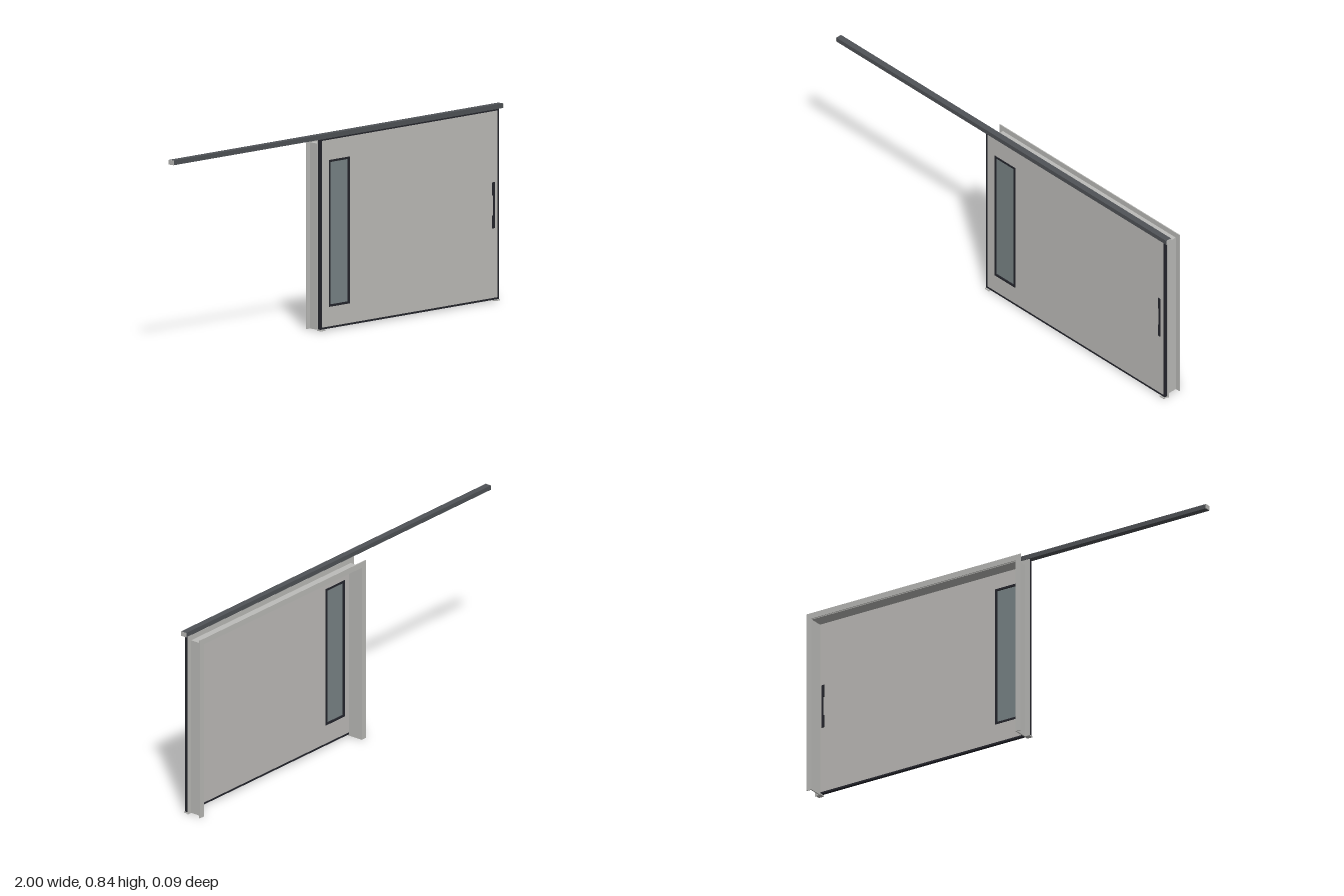
import * as THREE from 'three';

const material = (name, color) => {
  const m = new THREE.MeshStandardMaterial({ color });
  m.name = name;
  return m;
};

export function createModel() {
  const model = new THREE.Group();
  model.name = 'slidingDoor';
  const panelGrey = material('panel grey', 0xc0bebb);
  const frameGrey = material('frame grey', 0xbcbcb9);
  const railGrey = material('rail dark grey', 0x505357);
  const trimDark = material('dark trim', 0x25262d);
  const glass = material('grey blue glass', 0x7a8587);

  const add = (name, geometry, mat) => {
    const mesh = new THREE.Mesh(geometry, mat);
    mesh.name = name;
    model.add(mesh);
    return mesh;
  };
  // Box given by its limits on each axis
  const box = (name, mat, x0, x1, y0, y1, z0, z1) => {
    const g = new THREE.BoxGeometry(x1 - x0, y1 - y0, z1 - z0);
    g.translate((x0 + x1) / 2, (y0 + y1) / 2, (z0 + z1) / 2);
    return add(name, g, mat);
  };
  const rect = (Type, x0, x1, y0, y1) => new Type([
    new THREE.Vector2(x0, y0), new THREE.Vector2(x1, y0),
    new THREE.Vector2(x1, y1), new THREE.Vector2(x0, y1),
  ]);
  const extrude = (name, mat, shape, z0, z1) => {
    const g = new THREE.ExtrudeGeometry(shape, { depth: z1 - z0, bevelEnabled: false });
    g.translate(0, 0, z0);
    return add(name, g, mat);
  };
  // Rectangular ring with a hole
  const ring = (name, mat, x0, x1, y0, y1, t, z0, z1) => {
    const s = rect(THREE.Shape, x0, x1, y0, y1);
    s.holes.push(rect(THREE.Path, x0 + t, x1 - t, y0 + t, y1 - t));
    return extrude(name, mat, s, z0, z1);
  };
  // Door-frame arch, open at the floor
  const arch = (name, x0, x1, top, t, z0, z1) => {
    const pts = [[x0, 0], [x0 + t, 0], [x0 + t, top - t], [x1 - t, top - t],
      [x1 - t, 0], [x1, 0], [x1, top], [x0, top]];
    const s = new THREE.Shape(pts.map(([x, y]) => new THREE.Vector2(x, y)));
    return extrude(name, frameGrey, s, z0, z1);
  };

  // Overhead rail with lighter end caps
  box('rail', railGrey, -0.998, 0.998, 0.82, 0.84, 0.018, 0.046);
  box('railCapRight', frameGrey, -1, -0.998, 0.82, 0.84, 0.018, 0.046);
  box('railCapLeft', frameGrey, 0.998, 1, 0.82, 0.84, 0.018, 0.046);

  // Frame lining with outward flanges front and back
  arch('frameLining', -0.081, 0.965, 0.795, 0.005, -0.042, 0.019);
  arch('frontFlange', -0.102, 0.986, 0.819, 0.026, 0.019, 0.023);
  arch('backFlange', -0.102, 0.986, 0.819, 0.026, -0.046, -0.042);

  // Door leaf with a window opening and dark edging
  const win = { x0: -0.049, x1: 0.076, y0: 0.098, y1: 0.725 };
  const leaf = rect(THREE.Shape, -0.092, 0.973, 0.013, 0.812);
  leaf.holes.push(rect(THREE.Path, win.x0 + 0.004, win.x1 - 0.004, win.y0 + 0.004, win.y1 - 0.004));
  extrude('doorPanel', panelGrey, leaf, 0.026, 0.037);
  ring('doorEdging', trimDark, -0.1, 0.981, 0.006, 0.82, 0.008, 0.0245, 0.0385);

  // Window
  ring('windowFrame', trimDark, win.x0, win.x1, win.y0, win.y1, 0.009, 0.0235, 0.0395);
  box('windowGlass', glass, win.x0 + 0.007, win.x1 - 0.007, win.y0 + 0.007, win.y1 - 0.007, 0.029, 0.034);

  // Handles on both faces: a slim bar with two mounts
  for (const [side, z0, z1] of [['front', 0.037, 0.041], ['back', 0.022, 0.026]]) {
    box(side + 'HandleBar', trimDark, 0.947, 0.955, 0.312, 0.508, z0, z1);
    for (const y of [0.312, 0.453])
      box(side + 'HandleMount', trimDark, 0.941, 0.955, y, y + 0.055, z0, z1 - 0.001);
  }

  // Floor guides under the door corners
  for (const x of [-0.102, 0.956])
    box('floorGuide', frameGrey, x, x + 0.026, 0, 0.005, 0.019, 0.044);

  return model;
}
